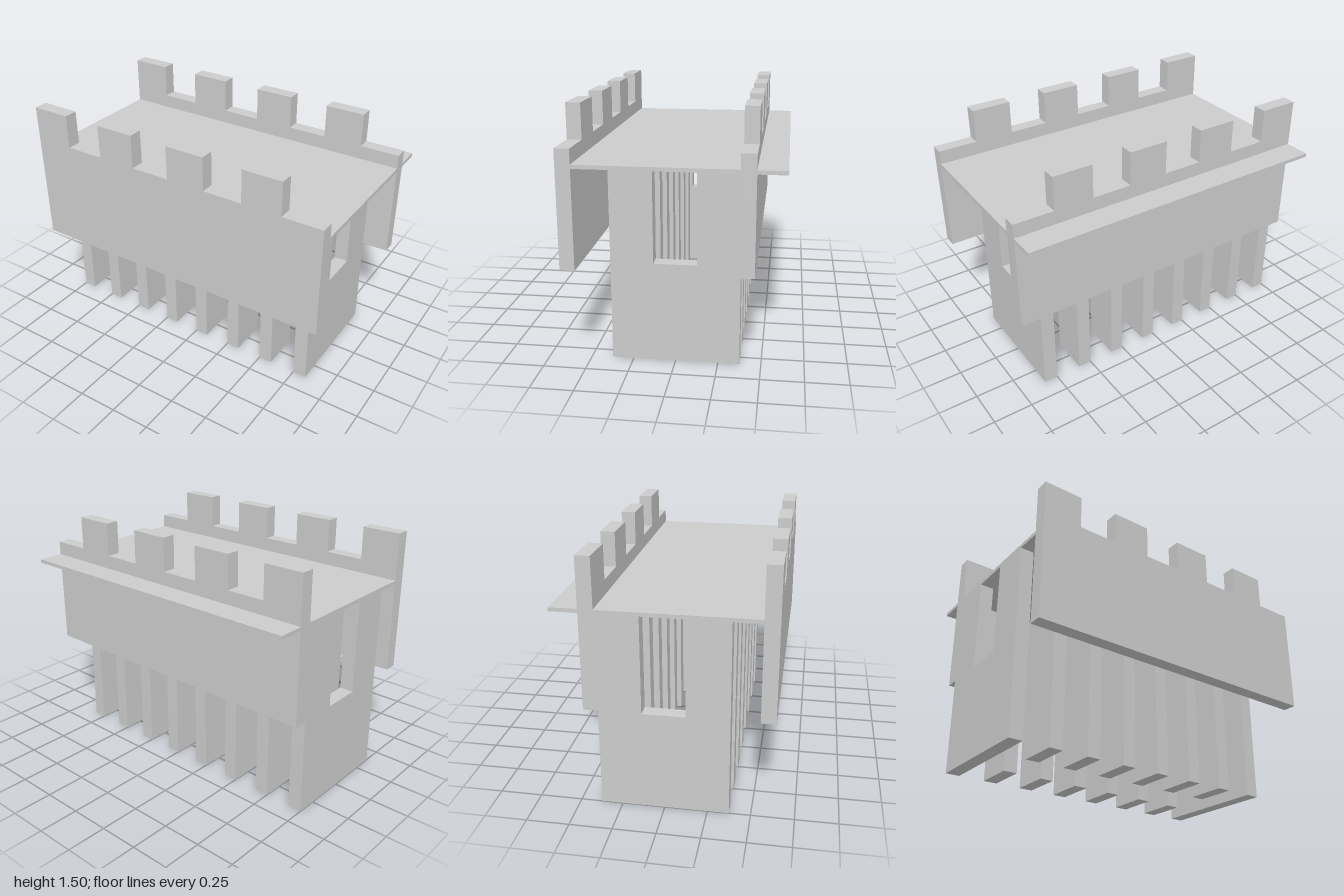
import * as THREE from 'three';

const material = new THREE.MeshStandardMaterial({ color: 0xcccccc, flatShading: true });
const T = 0.086;      // wall and rib thickness
const DECK_Y = 1.18;  // underside of the deck

// Extrudes an outline of [u, v] points by a depth
function extrude(name, points, depth) {
  const shape = new THREE.Shape(points.map(([u, v]) => new THREE.Vector2(u, v)));
  const mesh = new THREE.Mesh(new THREE.ExtrudeGeometry(shape, { depth, bevelEnabled: false }), material);
  mesh.name = name;
  return mesh;
}

function box(name, x0, x1, y0, y1, z0, z1) {
  const mesh = new THREE.Mesh(new THREE.BoxGeometry(x1 - x0, y1 - y0, z1 - z0), material);
  mesh.position.set((x0 + x1) / 2, (y0 + y1) / 2, (z0 + z1) / 2);
  mesh.name = name;
  return mesh;
}

// Parapet wall with four merlons, each followed by a gap
function parapet(name, z) {
  const points = [[-1, 0.6], [1, 0.6]];
  for (let i = 3; i >= 0; i--) {
    const x = -1 + i * 0.5;
    points.push([x + 0.5, 1.29], [x + 0.25, 1.29], [x + 0.25, 1.5], [x, 1.5]);
  }
  const wall = extrude(name, points, T);
  wall.position.z = z;
  return wall;
}

// End support: a full panel notched down to half height
function endSupport(name, x) {
  const points = [
    [-0.375, 0], [0.375, 0], [0.375, DECK_Y], [0.125, DECK_Y],
    [0.125, 0.6], [-0.125, 0.6], [-0.125, DECK_Y], [-0.375, DECK_Y],
  ];
  const panel = extrude(name, points, T);
  panel.rotation.y = Math.PI / 2;
  panel.position.x = x;
  return panel;
}

export function createModel() {
  const group = new THREE.Group();
  group.name = 'battlementWalkway';

  // Walkway deck, running past the rear parapet
  group.add(box('deck', -1, 1, DECK_Y, 1.203, -0.625, 0.54));

  // Crenellated walls
  group.add(parapet('frontParapet', 0.625 - T), parapet('rearParapet', -0.375 - T));

  // Eight supports: solid-based ends, paired pillars between
  for (let i = 0; i < 8; i++) {
    const x = -1 + i * 0.25;
    if (i === 0 || i === 7) {
      group.add(endSupport(i ? 'leftEndSupport' : 'rightEndSupport', x));
    } else {
      group.add(box('frontPillar', x, x + T, 0, DECK_Y, 0.125, 0.375));
      group.add(box('rearPillar', x, x + T, 0, DECK_Y, -0.375, -0.125));
    }
  }
  return group;
}
